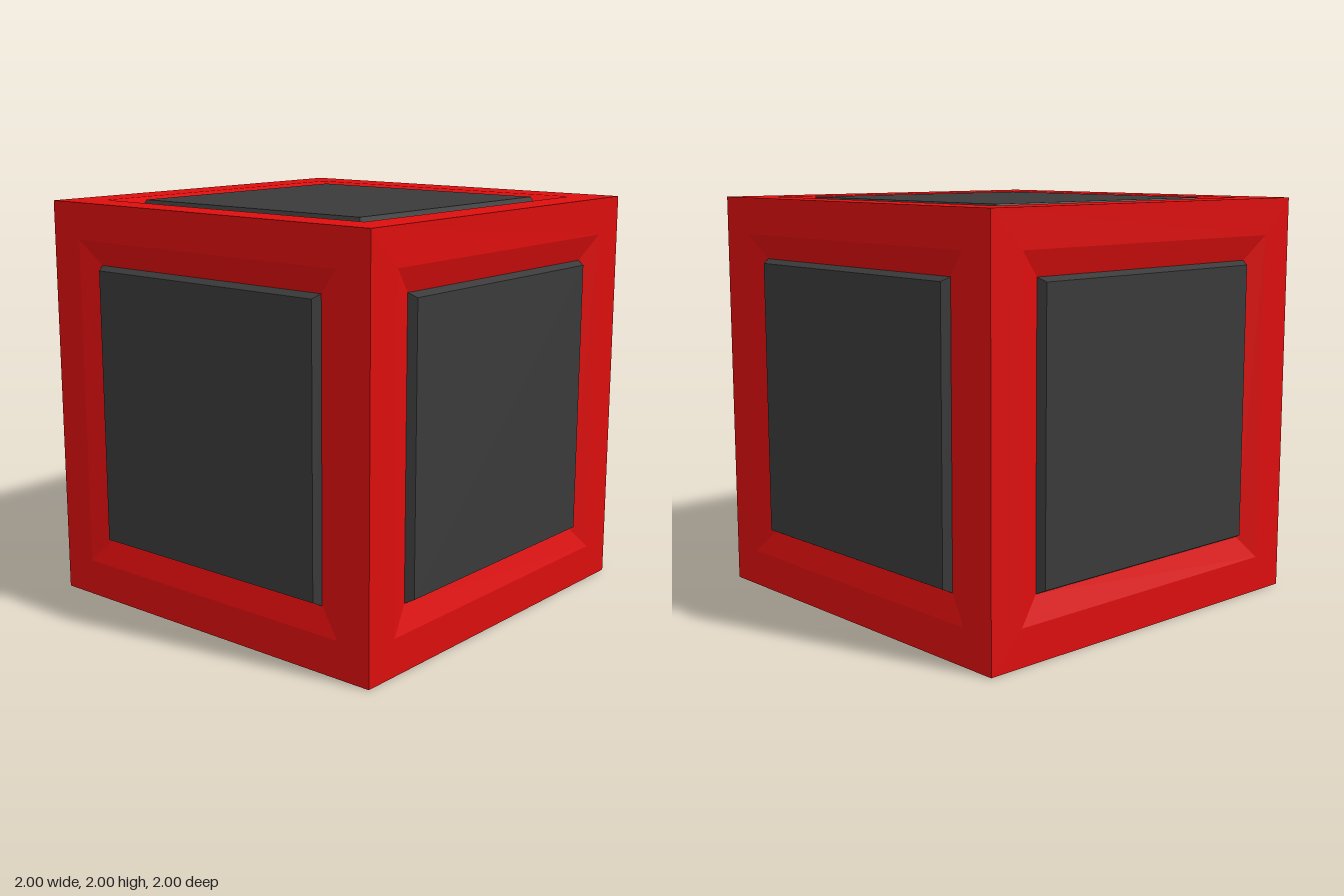
import * as THREE from 'three';

// Square "lathe": each profile point is [half width, height], swept around four sides
function squareSweep(profile) {
  const points = profile.map(([half, y]) => new THREE.Vector2(half * Math.SQRT2, y));
  return new THREE.LatheGeometry(points, 4, Math.PI / 4).toNonIndexed();
}

function flat(geometry) {
  geometry.computeVertexNormals();
  return geometry;
}

export function createModel() {
  const model = new THREE.Group();
  model.name = 'panelledCube';

  const red = new THREE.MeshStandardMaterial({ color: 0xdc0e0e });
  red.name = 'red frame';
  const charcoal = new THREE.MeshStandardMaterial({ color: 0x3a3a3a });
  charcoal.name = 'charcoal panel';

  // Flat border sloping into a shallow recess
  const frameGeometry = flat(squareSweep([[1, 1], [0.82, 1], [0.7, 0.96]]));
  // Chamfered panel rising flush with the border
  const panelGeometry = flat(squareSweep([[0.7, 0.96], [0.68, 1], [0, 1]]));

  // The same side on all six faces
  const q = Math.PI / 2;
  const sides = {
    top: [0, 0, 0],
    bottom: [Math.PI, 0, 0],
    front: [q, 0, 0],
    back: [-q, 0, 0],
    left: [0, 0, -q],
    right: [0, 0, q],
  };
  for (const [name, rotation] of Object.entries(sides)) {
    const side = new THREE.Group();
    side.name = name + 'Side';
    const frame = new THREE.Mesh(frameGeometry, red);
    frame.name = name + 'Frame';
    const panel = new THREE.Mesh(panelGeometry, charcoal);
    panel.name = name + 'Panel';
    side.add(frame, panel);
    side.rotation.set(...rotation);
    side.position.y = 1;
    model.add(side);
  }
  return model;
}
